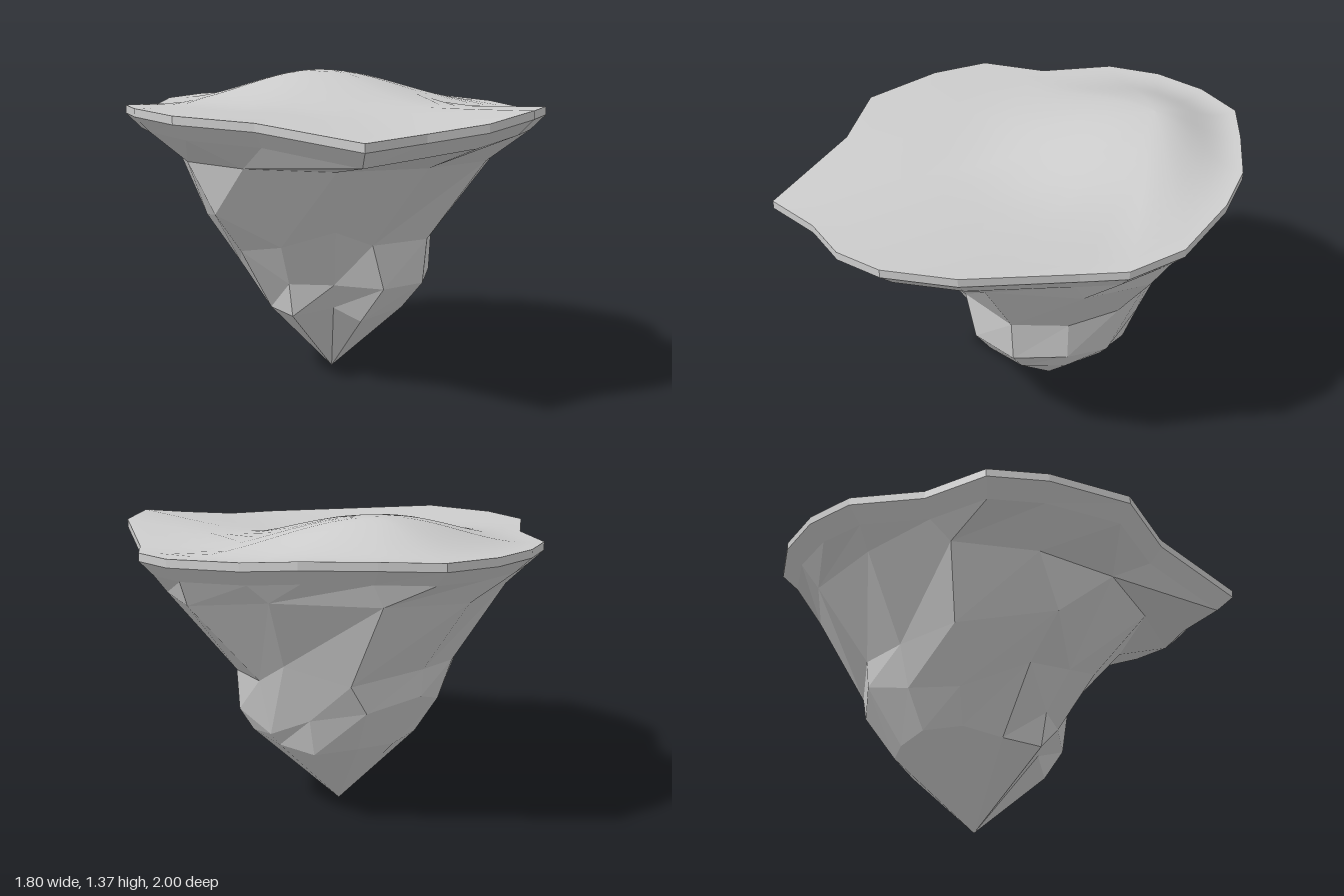
import * as THREE from 'three';

const rockMat = new THREE.MeshStandardMaterial({ color: 0xcccccc, flatShading: true });
const topMat = new THREE.MeshStandardMaterial({ color: 0xcccccc });

// Skin closed rings of equal length, ordered from the bottom outwards and up.
function loft(rings, material, name) {
  const n = rings[0].length, index = [];
  for (let r = 0; r < rings.length - 1; r++) {
    for (let i = 0; i < n; i++) {
      const j = (i + 1) % n;
      const a = r * n + i, b = r * n + j, c = a + n, d = b + n;
      index.push(a, b, d, a, d, c);
    }
  }
  const geo = new THREE.BufferGeometry();
  geo.setAttribute('position', new THREE.Float32BufferAttribute(rings.flat(2), 3));
  geo.setIndex(index);
  geo.computeVertexNormals();
  const mesh = new THREE.Mesh(geo, material);
  mesh.name = name;
  return mesh;
}

// Plateau outline, counterclockwise from above: x, z, rim height
const rim = [
  [-0.90, 0.22, 1.22], [-0.68, 0.49, 1.20], [-0.49, 0.97, 1.15], [-0.20, 0.95, 1.17],
  [0.06, 0.995, 1.20], [0.31, 0.96, 1.24], [0.54, 0.77, 1.24], [0.75, 0.36, 1.195],
  [0.86, 0.21, 1.20], [0.90, -0.04, 1.215], [0.80, -0.37, 1.235], [0.69, -0.58, 1.255],
  [0.48, -0.79, 1.255], [0.29, -0.96, 1.25], [0.04, -1.0, 1.245], [-0.21, -0.96, 1.24],
  [-0.43, -0.85, 1.23], [-0.61, -0.58, 1.22], [-0.84, -0.40, 1.23], [-0.905, -0.15, 1.23],
];

// Rim scaled towards the middle and lowered
const rimRing = (scale, drop) => rim.map(([x, z, y]) => [x * scale, y - drop, z * scale]);

// Ground ring around the hilltop: the hill fades out at the rim or after 0.85
const peak = { x: 0.22, z: -0.52 };
function groundRing(t) {
  return rim.map(([rx, rz, ry]) => {
    const dx = rx - peak.x, dz = rz - peak.z, length = Math.hypot(dx, dz);
    const d = Math.min(1, t * length / Math.min(length, 0.85));
    const y = 1.21 + (ry - 1.21) * t * t + 0.0775 * (1 + Math.cos(Math.PI * d));
    return [peak.x + dx * t, y, peak.z + dz * t];
  });
}

// Rock layers from bottom to top: [radius, height, turn in degrees] every
// 30 degrees, starting at the front and turning towards +x
const layers = [
  [[0.32, 0.28, -8], [0.36, 0.32], [0.39, 0.36], [0.35, 0.34], [0.36, 0.33], [0.36, 0.36],
   [0.34, 0.35], [0.35, 0.36], [0.33, 0.36], [0.32, 0.32], [0.36, 0.31], [0.28, 0.34]],
  [[0.43, 0.44], [0.46, 0.44], [0.45, 0.46], [0.40, 0.40], [0.42, 0.50], [0.50, 0.56],
   [0.50, 0.60], [0.45, 0.52], [0.42, 0.50], [0.50, 0.60, 6], [0.39, 0.46], [0.37, 0.46]],
  [[0.44, 0.64, -8], [0.48, 0.64], [0.46, 0.64], [0.46, 0.65], [0.50, 0.75, -10], [0.54, 0.69, -8],
   [0.51, 0.72], [0.51, 0.70], [0.57, 0.72], [0.66, 0.78, 10], [0.50, 0.64, 3], [0.54, 0.72]],
  [[0.75, 1.00], [0.75, 1.00], [0.75, 1.00], [0.75, 1.00, -8], [0.70, 1.06, -6], [0.74, 1.06],
   [0.75, 1.04], [0.73, 1.05], [0.70, 1.03], [0.72, 1.00], [0.75, 1.00], [0.78, 1.00]],
];

// Rock column that each rim corner stands on
const columns = [10, 10, 11, 11, 0, 0, 1, 2, 2, 3, 4, 4, 5, 5, 6, 6, 7, 8, 8, 9];
const rockRing = (layer) => columns.map((c) => {
  const [r, y, turn = 0] = layer[c];
  const a = THREE.MathUtils.degToRad(c * 30 + turn);
  return [0.03 + r * Math.sin(a), y, -0.1 + r * Math.cos(a)];
});

export function createModel() {
  const island = new THREE.Group();
  island.name = 'floatingIsland';

  // Faceted rock: single point, layers, flaring out to the plateau edge
  const tip = columns.map(() => [0.03, 0, -0.1]);
  const edge = rimRing(0.93, 0.1);
  island.add(loft([tip, ...layers.map(rockRing), edge], rockMat, 'rock'));

  // Plateau edge: bevel and short upright band
  island.add(loft([edge, rimRing(1, 0.035), rimRing(1, 0)], rockMat, 'plateauEdge'));

  // Smooth rolling ground
  const steps = 14, ground = [];
  for (let k = steps; k >= 0; k--) ground.push(groundRing(k / steps));
  island.add(loft(ground, topMat, 'ground'));

  return island;
}
